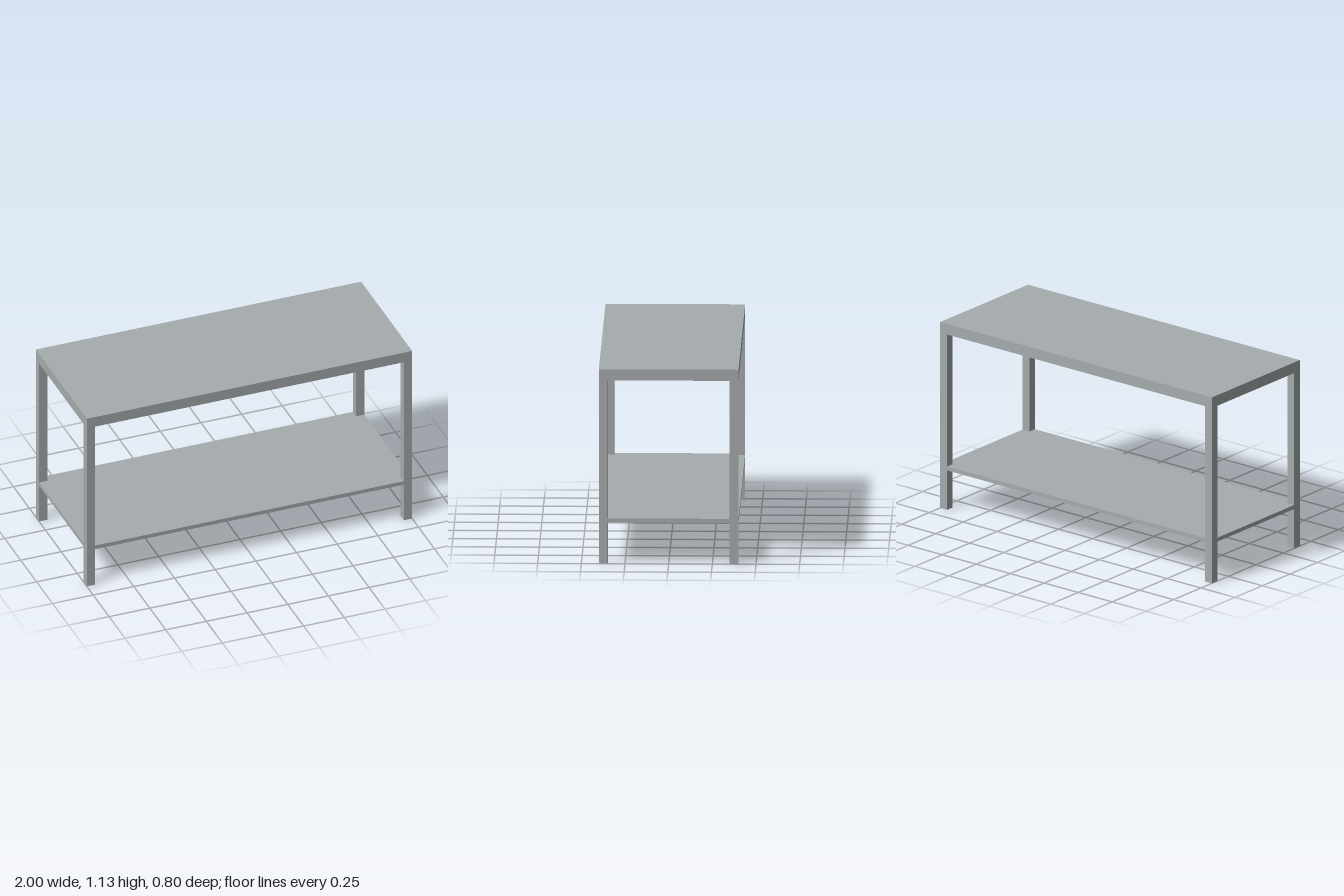
import * as THREE from 'three';

const HALF_W = 1, HALF_D = 0.4, LEG = 0.051;
const TOP_Y = 1.133, TOP_THICK = 0.065, SHELF_Y = 0.24, SHELF_THICK = 0.024;

export function createModel() {
  const table = new THREE.Group();
  table.name = 'table';
  const steel = new THREE.MeshStandardMaterial({ color: 0xa6abae });
  steel.name = 'grey steel';

  const add = (name, geometry, x, y, z) => {
    const mesh = new THREE.Mesh(geometry, steel);
    mesh.name = name;
    mesh.position.set(x, y, z);
    table.add(mesh);
    return mesh;
  };

  // Solid top, flush with the legs
  add('tabletop', new THREE.BoxGeometry(HALF_W * 2, TOP_THICK, HALF_D * 2),
    0, TOP_Y - TOP_THICK / 2, 0);

  // Square legs at the four corners
  const legHeight = TOP_Y - TOP_THICK;
  const legGeometry = new THREE.BoxGeometry(LEG, legHeight, LEG);
  for (const [side, sx] of [['Left', 1], ['Right', -1]]) {
    for (const [end, sz] of [['front', 1], ['back', -1]]) {
      add(`${end}${side}Leg`, legGeometry,
        sx * (HALF_W - LEG / 2), legHeight / 2, sz * (HALF_D - LEG / 2));
    }
  }

  // Lower shelf, with its corners notched around the legs
  const ix = HALF_W - LEG, iz = HALF_D - LEG;
  const outline = new THREE.Shape([
    [-ix, -HALF_D], [ix, -HALF_D], [ix, -iz], [HALF_W, -iz],
    [HALF_W, iz], [ix, iz], [ix, HALF_D], [-ix, HALF_D],
    [-ix, iz], [-HALF_W, iz], [-HALF_W, -iz], [-ix, -iz],
  ].map(([x, z]) => new THREE.Vector2(x, z)));
  const shelfGeometry = new THREE.ExtrudeGeometry(outline, { depth: SHELF_THICK, bevelEnabled: false });
  shelfGeometry.rotateX(-Math.PI / 2);
  add('lowerShelf', shelfGeometry, 0, SHELF_Y, 0);

  return table;
}
